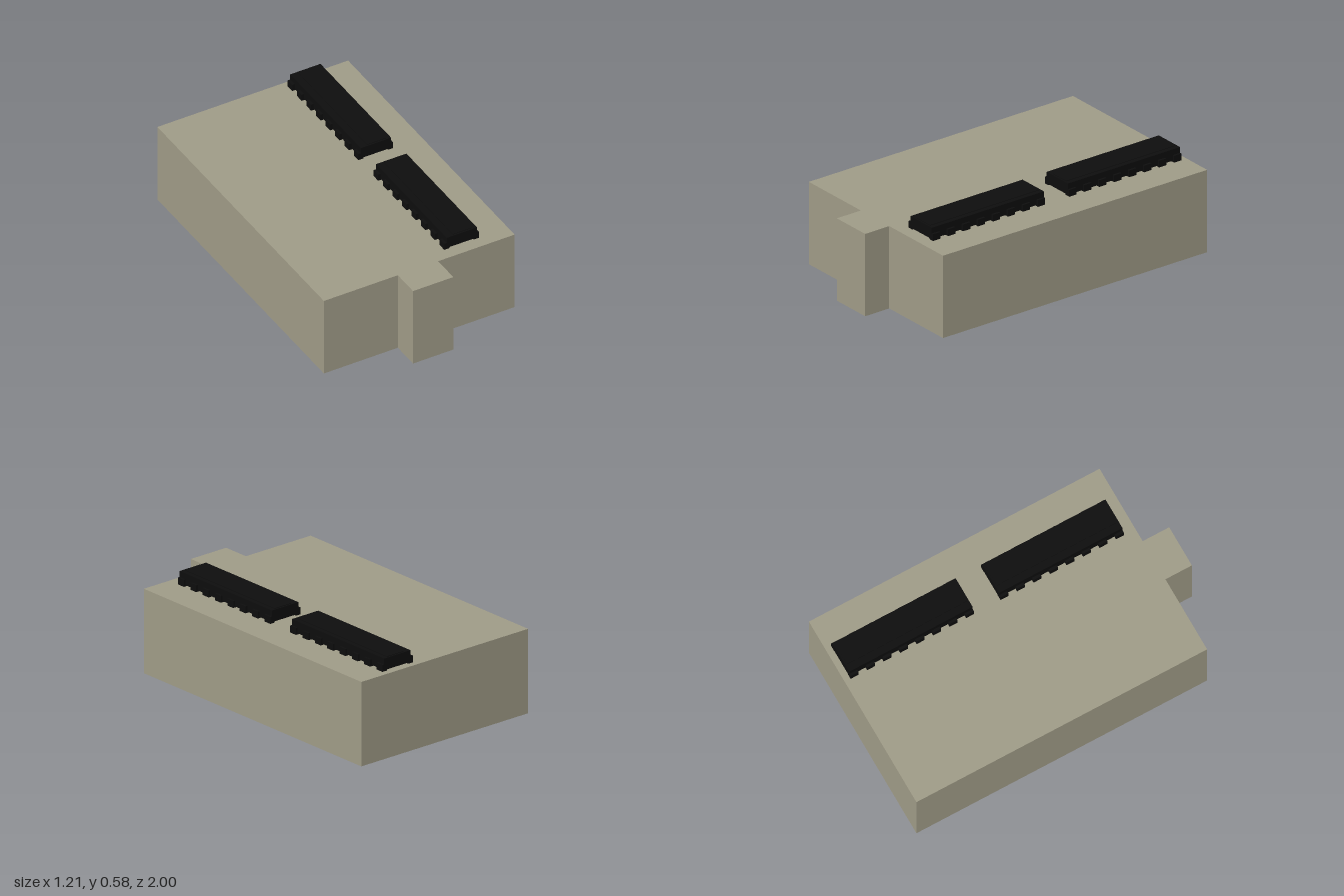
import * as THREE from 'three';

const stone = new THREE.MeshStandardMaterial({ color: 0x9e9a86 });
stone.name = 'warm grey';
const black = new THREE.MeshStandardMaterial({ color: 0x0d0d0d });
black.name = 'black';

// box given by its min and max corners
function box(name, material, x0, x1, y0, y1, z0, z1) {
  const mesh = new THREE.Mesh(new THREE.BoxGeometry(x1 - x0, y1 - y0, z1 - z0), material);
  mesh.position.set((x0 + x1) / 2, (y0 + y1) / 2, (z0 + z1) / 2);
  mesh.name = name;
  return mesh;
}

// ribbed strip with a row of feet along each long side, starting at z0
function createStrip(name, z0) {
  const strip = new THREE.Group();
  strip.name = name;
  const length = 0.778, count = 8, footLength = 0.05;
  strip.add(box('stripBody', black, 0.216, 0.408, 0.507, 0.576, z0, z0 + length));
  strip.add(box('stripTop', black, 0.26, 0.38, 0.576, 0.579, z0 + 0.01, z0 + length - 0.01));
  const step = (length - footLength) / (count - 1);
  for (let i = 0; i < count; i++) {
    const z = z0 + i * step;
    strip.add(box('leftFoot', black, 0.388, 0.42, 0.5, 0.541, z, z + footLength));
    strip.add(box('rightFoot', black, 0.2, 0.232, 0.5, 0.541, z, z + footLength));
  }
  return strip;
}

export function createModel() {
  const model = new THREE.Group();
  model.name = 'blockWithStrips';

  // footprint with the front tab, drawn as (x, -z) and extruded upward
  const footprint = new THREE.Shape([
    [-0.607, 1], [-0.607, -0.833], [-0.137, -0.833], [-0.137, -1],
    [0.119, -1], [0.119, -0.833], [0.605, -0.833], [0.605, 1],
  ].map(([x, y]) => new THREE.Vector2(x, y)));
  const geometry = new THREE.ExtrudeGeometry(footprint, { depth: 0.5, bevelEnabled: false });
  geometry.rotateX(-Math.PI / 2);
  const block = new THREE.Mesh(geometry, stone);
  block.name = 'block';
  model.add(block);

  model.add(createStrip('backStrip', -0.963), createStrip('frontStrip', -0.018));
  return model;
}
